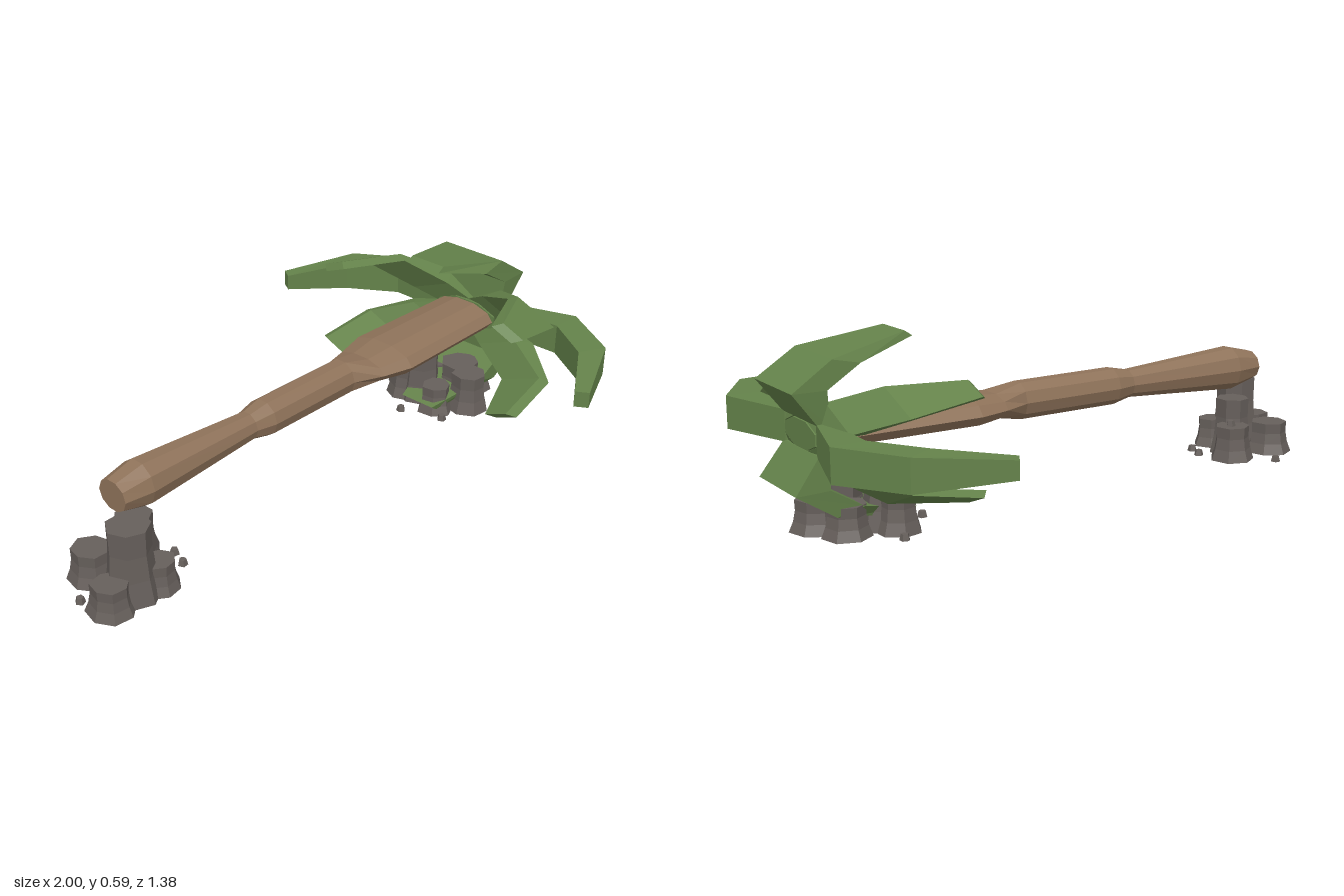
import * as THREE from 'three';

const material = (color) => new THREE.MeshStandardMaterial({ color, flatShading: true, roughness: 1 });
const bark = material(0x8f735a);
const leafGreen = material(0x64824a);
const stone = material(0x665f5b);

const AXIS_Y = 0.31; // height of the lying trunk
const STRETCH = 2.45; // crown is flattened: wide in z, low in y

function addMesh(parent, name, geometry, mat) {
  const mesh = new THREE.Mesh(geometry, mat);
  mesh.name = name;
  parent.add(mesh);
  return mesh;
}

// Small repeatable wobble
function wobble(i, seed) {
  const s = Math.sin(i * 12.9898 + seed * 78.233) * 43758.5453;
  return (s - Math.floor(s)) * 2 - 1;
}

// Trunk: rings along x as [x, half height, half width]
function trunkGeometry() {
  const rings = [
    [-0.82, 0.052, 0.06], [-0.72, 0.077, 0.075], [-0.27, 0.048, 0.048], [-0.2, 0.063, 0.064],
    [0.17, 0.063, 0.062], [0.27, 0.041, 0.105], [0.38, 0.053, 0.135], [0.88, 0.05, 0.125],
  ];
  const geo = new THREE.CylinderGeometry(1, 1, 1, 10, rings.length - 1).rotateZ(-Math.PI / 2);
  const p = geo.attributes.position;
  for (let i = 0; i < p.count; i++) {
    const [x, ry, rz] = rings[Math.round((p.getX(i) + 0.5) * (rings.length - 1))];
    p.setXYZ(i, x, p.getY(i) * ry, p.getZ(i) * rz - 0.005);
  }
  geo.computeVertexNormals();
  return geo;
}

// Frond sections: outer and inner [radius, x], then half width
const LONG_FROND = [
  { outer: [0.045, 0.92], inner: [0.04, 0.88], width: 0.05 },
  { outer: [0.15, 1.0], inner: [0.148, 0.89], width: 0.053 },
  { outer: [0.235, 0.87], inner: [0.215, 0.78], width: 0.051 },
  { outer: [0.282, 0.605], inner: [0.265, 0.58], width: 0.028 },
];
const SHORT_FROND = [
  { outer: [0.045, 0.92], inner: [0.03, 0.86], width: 0.035 },
  { outer: [0.11, 0.89], inner: [0.09, 0.83], width: 0.045 },
  { outer: [0.198, 0.78], inner: [0.18, 0.765], width: 0.045 },
  { outer: [0.232, 0.565], inner: [0.215, 0.54], width: 0.024 },
];

// A box bent along its sections, turned round the trunk axis, then stretched
function frondGeometry(sections, angle) {
  const geo = new THREE.BoxGeometry(1, 1, 1, 1, 1, sections.length - 1);
  const p = geo.attributes.position;
  for (let i = 0; i < p.count; i++) {
    const s = sections[Math.round((p.getZ(i) + 0.5) * (sections.length - 1))];
    const [r, x] = p.getY(i) > 0 ? s.outer : s.inner;
    p.setXYZ(i, x, r, Math.sign(p.getX(i)) * s.width);
  }
  geo.rotateX(angle).scale(1, 1, STRETCH);
  geo.computeVertexNormals();
  return geo;
}

// Flared stone column with an uneven outline
function columnGeometry(radius, height, seed) {
  const sides = 7;
  const flare = [1.12, 0.93, 0.84, 0.86];
  const geo = new THREE.CylinderGeometry(1, 1, 1, sides, flare.length - 1);
  const p = geo.attributes.position;
  for (let i = 0; i < p.count; i++) {
    const level = Math.round((p.getY(i) + 0.5) * (flare.length - 1));
    const a = Math.atan2(p.getZ(i), p.getX(i));
    const corner = (Math.round((a / (2 * Math.PI)) * sides * 4) + sides * 4) % (sides * 4);
    const r = radius * flare[level] * (1 + 0.08 * wobble(corner, seed));
    p.setXYZ(i, p.getX(i) * r, (p.getY(i) + 0.5) * height, p.getZ(i) * r);
  }
  geo.rotateY(seed);
  geo.computeVertexNormals();
  return geo;
}

// Rock pile: columns [x, z, radius, height], pebbles [x, y, z]
function rockPile(name, columns, pebbles) {
  const pile = new THREE.Group();
  pile.name = name;
  columns.forEach(([x, z, r, h], i) => {
    addMesh(pile, 'rockColumn', columnGeometry(r, h, i + 1), stone).position.set(x, 0, z);
  });
  pebbles.forEach(([x, y, z], i) => {
    const pebble = addMesh(pile, 'pebble', new THREE.CylinderGeometry(0.012, 0.017, 0.02, 5), stone);
    pebble.position.set(x, y + 0.01, z);
    pebble.rotation.y = i;
  });
  return pile;
}

export function createModel() {
  const model = new THREE.Group();
  model.name = 'fallenPalm';

  const palm = new THREE.Group();
  palm.name = 'palm';
  palm.position.y = AXIS_Y;
  model.add(palm);
  addMesh(palm, 'trunk', trunkGeometry(), bark);

  // Crown: hub with alternating long and short fronds
  const hub = new THREE.CylinderGeometry(0.046, 0.055, 0.08, 8)
    .rotateZ(-Math.PI / 2).rotateX(Math.PI / 8).scale(1, 1, STRETCH).translate(0.882, 0, 0);
  addMesh(palm, 'crownHub', hub, leafGreen);
  for (let i = 0; i < 8; i++) {
    const long = i % 2 === 0;
    const geo = frondGeometry(long ? LONG_FROND : SHORT_FROND, (i * Math.PI) / 4);
    addMesh(palm, long ? 'longFrond' : 'shortFrond', geo, leafGreen);
  }

  // Rock piles under both ends
  model.add(rockPile('rootRocks', [
    [-0.83, 0.07, 0.08, 0.25],
    [-0.74, -0.02, 0.068, 0.2],
    [-0.925, 0.09, 0.07, 0.1],
    [-0.86, -0.08, 0.073, 0.11],
    [-0.68, -0.085, 0.07, 0.12],
    [-0.75, 0.105, 0.06, 0.1],
  ], [
    [-0.78, 0, -0.205], [-0.965, 0, -0.01], [-0.63, 0, 0.07], [-0.61, 0, 0.01],
    [-0.67, 0.12, -0.09], [-0.7, 0, 0.02],
  ]));
  model.add(rockPile('crownRocks', [
    [0.69, -0.07, 0.07, 0.19],
    [0.67, -0.13, 0.066, 0.12],
    [0.74, 0.11, 0.072, 0.14],
    [0.87, 0.02, 0.072, 0.1],
    [0.82, -0.08, 0.07, 0.1],
    [0.79, 0.03, 0.08, 0.14],
    [0.65, 0.03, 0.06, 0.1],
  ], [
    [0.55, 0, -0.05], [0.7, 0, -0.215], [0.6, 0, 0.1], [0.66, 0.12, -0.14],
  ]));
  return model;
}
